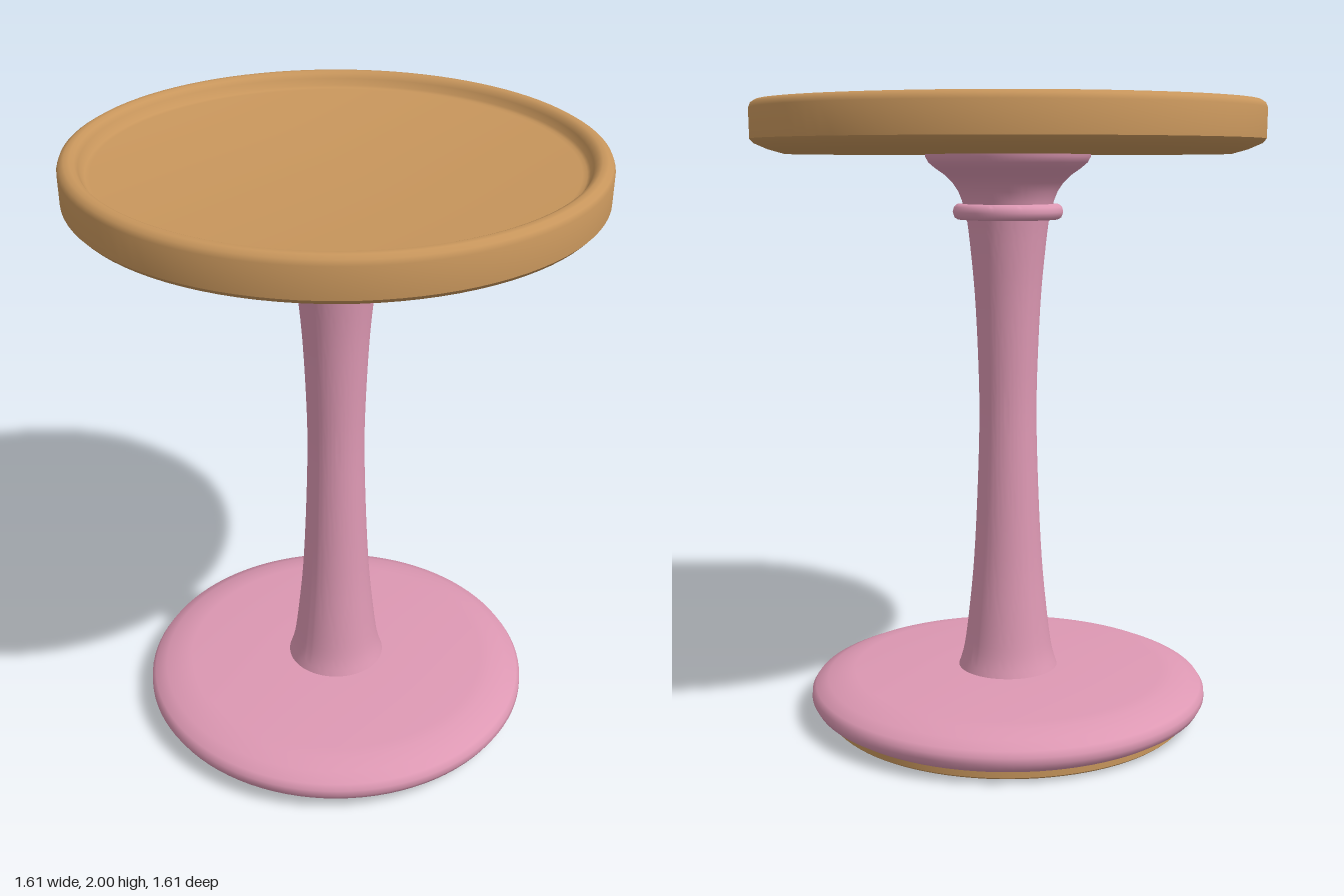
import * as THREE from 'three';
import { toCreasedNormals } from 'three/addons/utils/BufferGeometryUtils.js';

export function createModel() {
  const wood = new THREE.MeshStandardMaterial({ color: 0xc8965c });
  const pink = new THREE.MeshStandardMaterial({ color: 0xdd98b3 });
  const group = new THREE.Group();
  group.name = 'pedestalTable';

  // turn a profile of [radius, height] points, listed from the bottom up the outside
  function turned(name, profile, material, crease = 0.7) {
    const points = profile.map(([r, y]) => new THREE.Vector2(r, y));
    const mesh = new THREE.Mesh(toCreasedNormals(new THREE.LatheGeometry(points, 96), crease), material);
    mesh.name = name;
    group.add(mesh);
  }

  // flat ring under the base
  turned('footRing', [
    [0.42, 0.03], [0.42, 0.005], [0.425, 0], [0.59, 0], [0.597, 0.006], [0.597, 0.03],
  ], wood);

  // rounded disc base
  turned('base', [
    [0, 0.02], [0.585, 0.02], [0.615, 0.033], [0.642, 0.05], [0.653, 0.07], [0.652, 0.09],
    [0.64, 0.108], [0.6, 0.126], [0.55, 0.142], [0.51, 0.147], [0.16, 0.155], [0, 0.155],
  ], pink);

  // waisted column, smoothed through a few stations
  const columnCurve = new THREE.SplineCurve([
    [0.165, 0.15], [0.145, 0.22], [0.128, 0.35], [0.112, 0.52], [0.1, 0.75], [0.093, 1.0],
    [0.097, 1.2], [0.107, 1.4], [0.122, 1.56], [0.132, 1.64],
  ].map(([r, y]) => new THREE.Vector2(r, y)));
  turned('column', columnCurve.getPoints(36).map((p) => [p.x, p.y]), pink);

  // bead around the neck
  turned('collar', [
    [0.12, 1.632], [0.16, 1.632], [0.17, 1.638], [0.176, 1.655],
    [0.172, 1.671], [0.162, 1.68], [0.12, 1.682],
  ], pink, 0.9);

  // flared capital below the top
  turned('capital', [
    [0.14, 1.66], [0.146, 1.69], [0.158, 1.72], [0.176, 1.747], [0.202, 1.772],
    [0.232, 1.793], [0.252, 1.81], [0.262, 1.828], [0.264, 1.845],
  ], pink);

  // round top with raised lip and sunken tray
  turned('tabletop', [
    [0, 1.836], [0.7, 1.836], [0.75, 1.85], [0.792, 1.868], [0.805, 1.882], [0.806, 1.975],
    [0.8, 1.99], [0.785, 1.999], [0.768, 2], [0.755, 1.994], [0.745, 1.98],
    [0.737, 1.96], [0.728, 1.954], [0.715, 1.952], [0, 1.952],
  ], wood);

  return group;
}
